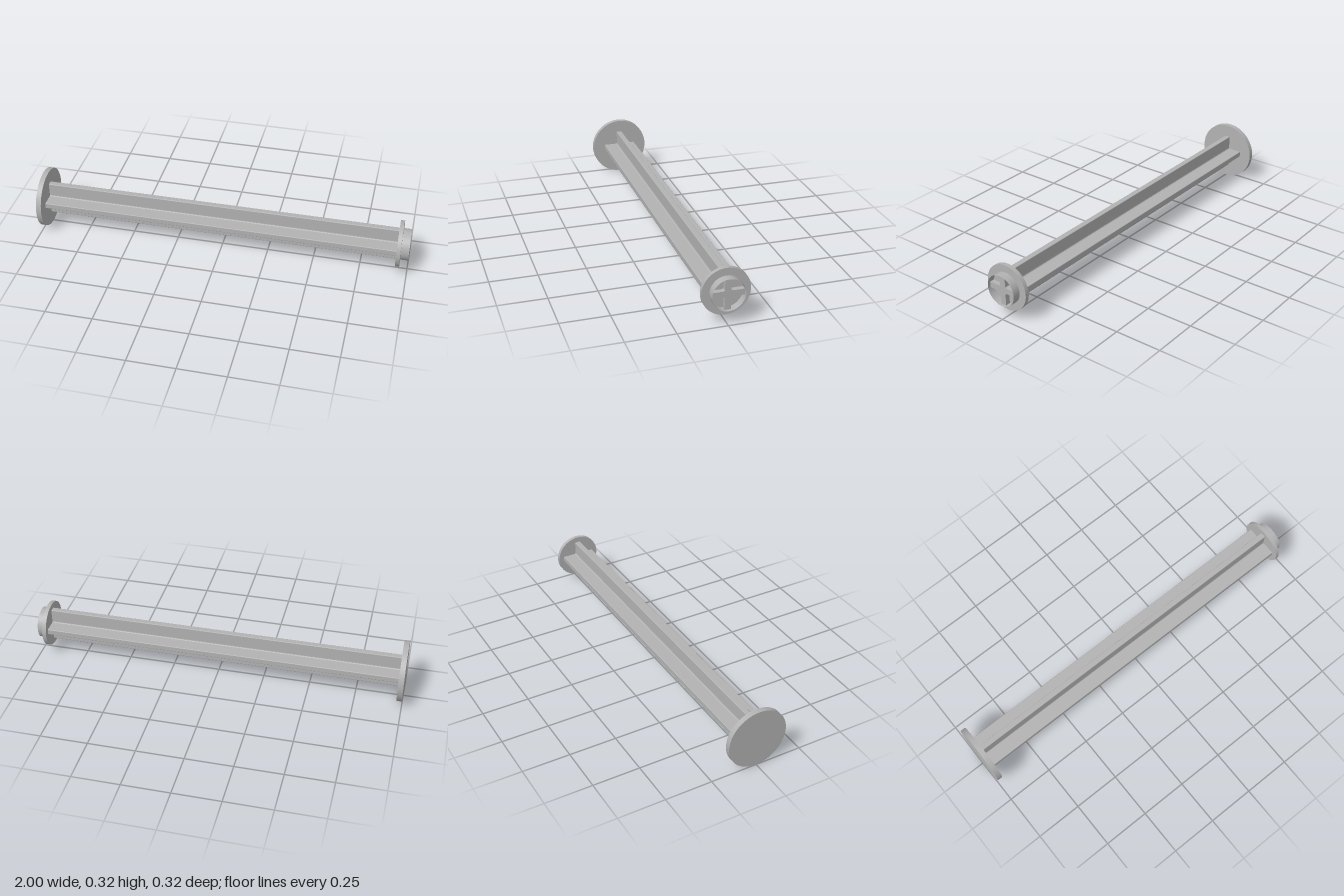
import * as THREE from 'three';

const AXIS_Y = 0.16;

// Plus-shaped section with filleted inner corners and softened rib tips
function crossShape(reach, half, fillet, tip) {
  const s = new THREE.Shape();
  for (let i = 0; i < 4; i++) {
    const c = Math.round(Math.cos(i * Math.PI / 2)), n = Math.round(Math.sin(i * Math.PI / 2));
    const p = (x, y) => [x * c - y * n, x * n + y * c];
    if (i === 0) s.moveTo(...p(reach, -half + tip));
    else s.lineTo(...p(reach, -half + tip));
    s.lineTo(...p(reach, half - tip));
    s.quadraticCurveTo(...p(reach, half), ...p(reach - tip, half));
    s.lineTo(...p(half + fillet, half));
    s.quadraticCurveTo(...p(half, half), ...p(half, half + fillet));
    s.lineTo(...p(half, reach - tip));
    s.quadraticCurveTo(...p(half, reach), ...p(half - tip, reach));
  }
  return s;
}

export function createModel() {
  const group = new THREE.Group();
  const grey = new THREE.MeshStandardMaterial({ color: 0xb2b2b2, side: THREE.DoubleSide });
  grey.name = 'plain grey';

  const add = (name, geometry, x) => {
    const mesh = new THREE.Mesh(geometry, grey);
    mesh.name = name;
    mesh.position.set(x, AXIS_Y, 0);
    group.add(mesh);
  };
  // Round parts and crosses both run along x from x0 to x1
  const round = (name, r, x0, x1, open = false) =>
    add(name, new THREE.CylinderGeometry(r, r, x1 - x0, 72, 1, open).rotateZ(-Math.PI / 2), (x0 + x1) / 2);
  const cross = (name, reach, fillet, tip, x0, x1) =>
    add(name, new THREE.ExtrudeGeometry(crossShape(reach, 0.0155, fillet, tip),
      { depth: x1 - x0, bevelEnabled: false, curveSegments: 5 }).rotateY(Math.PI / 2), x0);

  round('endDisc', 0.16, -1, -0.972);
  cross('ribbedShaft', 0.092, 0.008, 0.004, -0.972, 0.938);
  round('flange', 0.122, 0.938, 0.959);
  // Thin open collar with recessed ribs inside
  round('collar', 0.083, 0.959, 1, true);
  cross('collarRibs', 0.0815, 0.008, 0.0005, 0.959, 0.985);

  return group;
}
